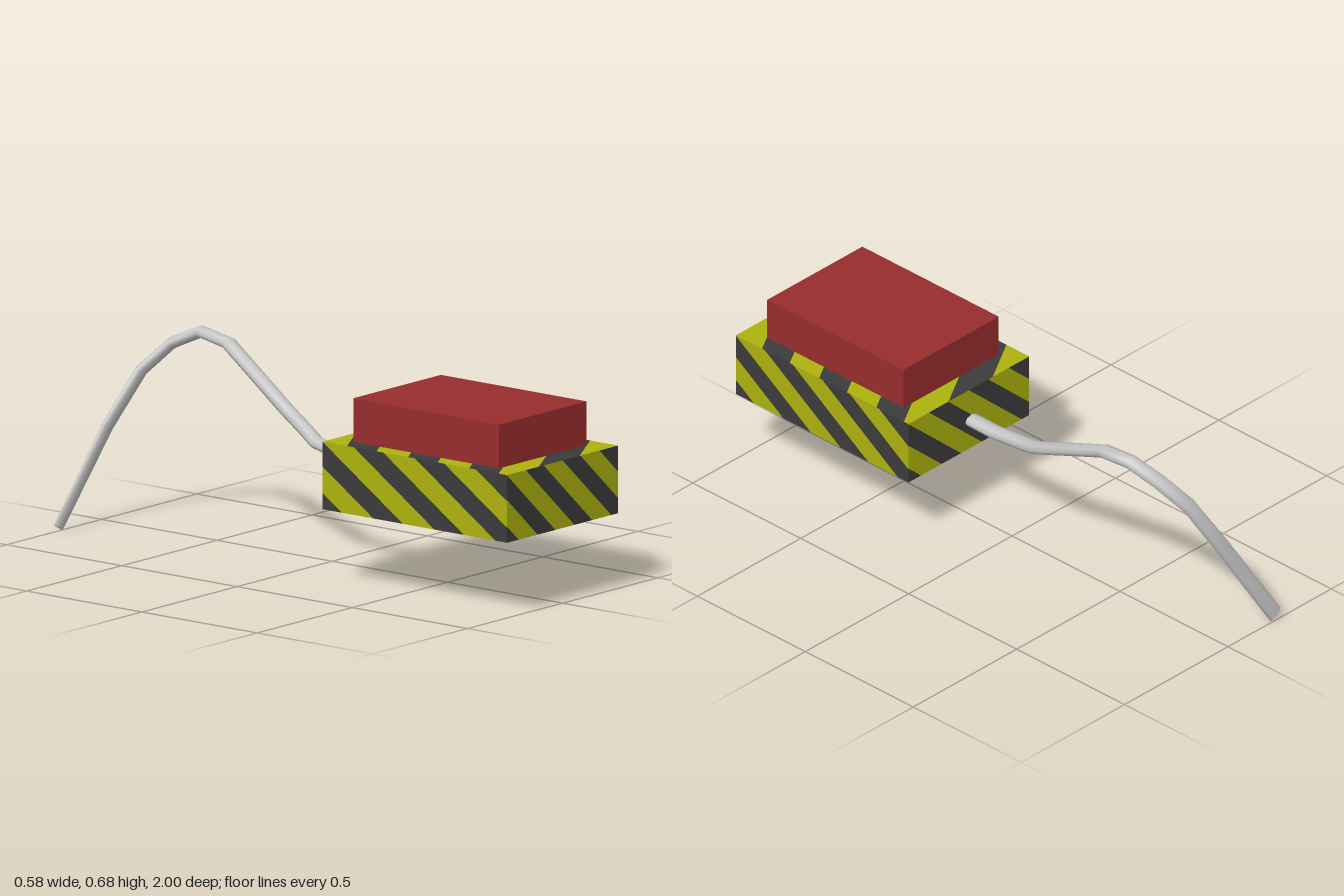
import * as THREE from 'three';

const mat = (name, color, side = THREE.FrontSide) => {
  const m = new THREE.MeshStandardMaterial({ color, side });
  m.name = name;
  return m;
};

const PERIOD = 0.331, DARK = 0.16, SLANT = -0.437;

// Keep the part of a polygon (points [t, s]) where sign * (t - limit) >= 0
function clip(poly, limit, sign) {
  const out = [];
  poly.forEach((a, i) => {
    const b = poly[(i + 1) % poly.length];
    const da = sign * (a[0] - limit), db = sign * (b[0] - limit);
    if (da >= 0) out.push(a);
    if (da * db < 0) {
      const k = da / (da - db);
      out.push([limit, a[1] + (b[1] - a[1]) * k]);
    }
  });
  return out;
}

// Slanted bands of one colour on every face of the base
function bandGeometry(faces, offset, width) {
  const pos = [];
  for (const { origin, t, s, start } of faces) {
    const at = ([a, b]) => origin.map((o, i) => o + t[i] * a + s[i] * b);
    for (let k = -2; k < 6; k++) {
      const a = start + offset + k * PERIOD, b = a + width;
      let poly = [[a, 0], [b, 0], [b + SLANT, 1], [a + SLANT, 1]];
      poly = clip(clip(poly, 0, 1), 1, -1);
      for (let i = 1; i + 1 < poly.length; i++) {
        pos.push(...at(poly[0]), ...at(poly[i]), ...at(poly[i + 1]));
      }
    }
  }
  const g = new THREE.BufferGeometry();
  g.setAttribute('position', new THREE.Float32BufferAttribute(pos, 3));
  g.computeVertexNormals();
  return g;
}

// Flattened tube swept along a polyline of points, its wide axis kept near x
function cableGeometry(points, sides) {
  const pos = [], index = [], n = points.length;
  const X = new THREE.Vector3(1, 0, 0);
  points.forEach((p, i) => {
    const T = points[Math.min(i + 1, n - 1)].clone().sub(points[Math.max(i - 1, 0)]).normalize();
    const W = X.clone().addScaledVector(T, -T.x).normalize();
    const B = new THREE.Vector3().crossVectors(T, W);
    const thick = i < n - 3 ? 0.021 : [0.018, 0.014, 0.009][i - n + 3];
    for (let j = 0; j < sides; j++) {
      const a = (j / sides) * Math.PI * 2;
      const v = p.clone().addScaledVector(W, 0.03 * Math.cos(a)).addScaledVector(B, thick * Math.sin(a));
      pos.push(v.x, v.y, v.z);
      if (i < n - 1) {
        const q = i * sides + j, r = i * sides + (j + 1) % sides;
        index.push(q, r, q + sides, r, r + sides, q + sides);
      }
    }
  });
  // End cap with its own vertices
  const first = (n - 1) * sides, cap = pos.length / 3;
  pos.push(...pos.slice(first * 3));
  for (let j = 1; j < sides - 1; j++) index.push(cap, cap + j, cap + j + 1);
  const g = new THREE.BufferGeometry();
  g.setAttribute('position', new THREE.Float32BufferAttribute(pos, 3));
  g.setIndex(index);
  g.computeVertexNormals();
  return g;
}

export function createModel() {
  const group = new THREE.Group();
  const add = (name, geometry, material) => {
    const m = new THREE.Mesh(geometry, material);
    m.name = name;
    group.add(m);
    return m;
  };
  const yellow = mat('hazardYellow', 0xacb20e);
  const dark = mat('hazardDark', 0x3b3b3b);
  const red = mat('buttonRed', 0x982d2e);
  const grey = mat('cableGrey', 0xc6c6c6, THREE.DoubleSide);

  // Striped base: t runs across the bands, s along the slant
  const x = 0.292, y0 = 0.262, y1 = 0.494, z0 = 0.2, z1 = 1;
  const w = 2 * x, h = y1 - y0, d = z1 - z0, up = [0, h, 0];
  const faces = [
    { origin: [-x, y0, z1], t: [w, 0, 0], s: up, start: 0.275 },
    { origin: [x, y0, z1], t: [0, 0, -d], s: up, start: 0.275 },
    { origin: [x, y0, z0], t: [-w, 0, 0], s: up, start: 0.275 },
    { origin: [-x, y0, z0], t: [0, 0, d], s: up, start: 0.275 },
    { origin: [-x, y1, z0], t: [0, 0, d], s: [w, 0, 0], start: 0.132 },
    { origin: [x, y0, z0], t: [0, 0, d], s: [-w, 0, 0], start: 0.159 },
  ];
  add('baseDarkStripes', bandGeometry(faces, 0, DARK), dark);
  add('baseYellowStripes', bandGeometry(faces, DARK, PERIOD - DARK), yellow);

  // Push button on top
  add('button', new THREE.BoxGeometry(0.46, 0.15, 0.632), red).position.set(0, 0.569, 0.598);

  // Cable rising from the back and drooping to the ground
  const path = [
    [-0.013, 0.372, 0.22], [-0.013, 0.37, 0.09], [0.005, 0.4, -0.07], [0.03, 0.43, -0.14],
    [0.05, 0.475, -0.23], [0.135, 0.648, -0.56], [0.146, 0.668, -0.69], [0.115, 0.62, -0.79],
    [0.05, 0.525, -0.87], [-0.05, 0.34, -0.935], [-0.239, 0.019, -0.991],
  ].map((p) => new THREE.Vector3(...p));
  add('cable', cableGeometry(path, 8), grey);

  return group;
}
